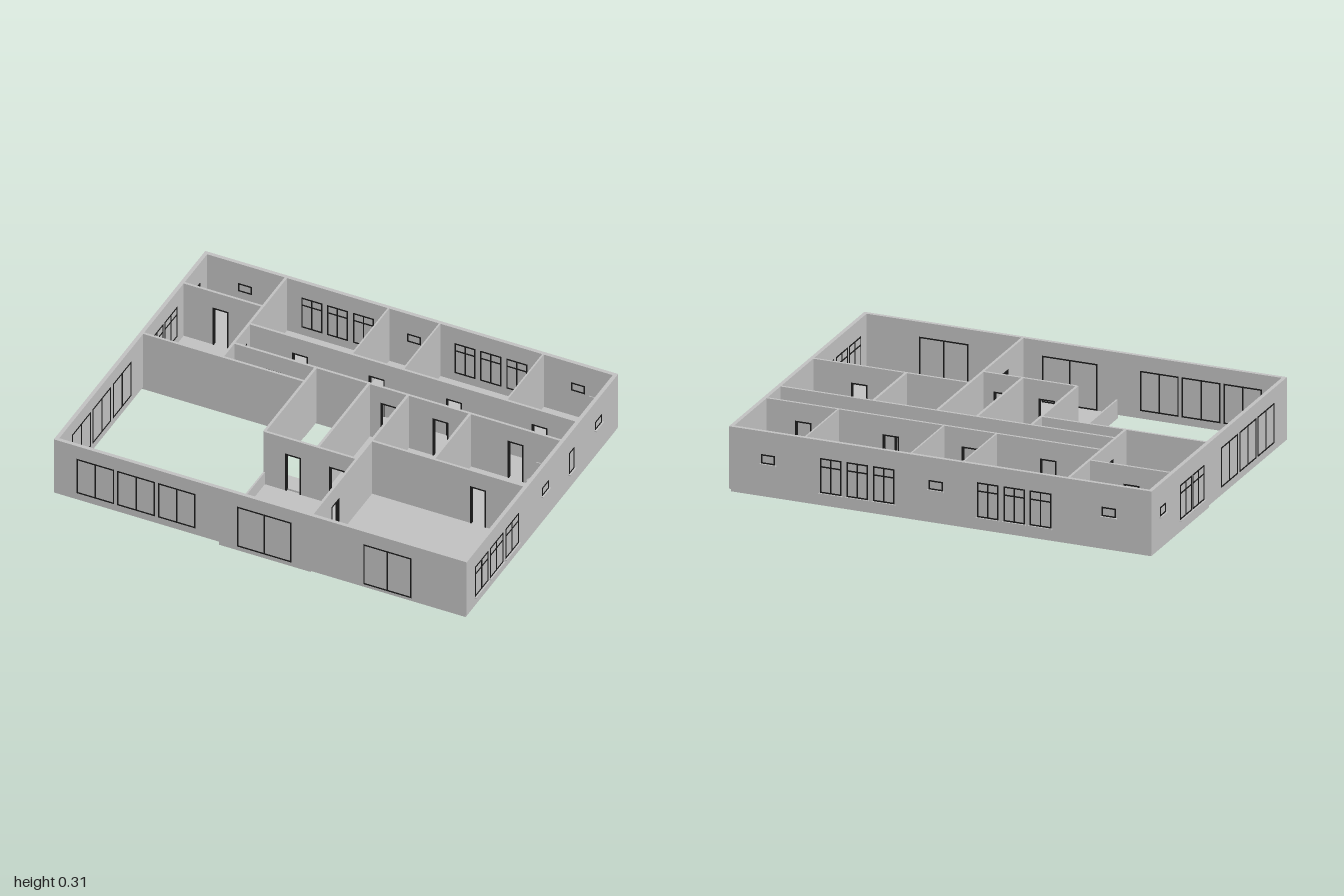
import * as THREE from 'three';

const grey = new THREE.MeshStandardMaterial({ color: 0xc0c0c0, side: THREE.DoubleSide });
grey.name = 'plaster grey';
const dark = new THREE.MeshStandardMaterial({ color: 0x1a1a1a });
dark.name = 'frame black';

const BASE = 0.02, TOP = 0.308, DOOR_TOP = 0.225;
const X = 0.981, Z = 0.733, OUT = 0.018, IN = 0.012;

export function createModel() {
  const house = new THREE.Group();
  house.name = 'house';

  function add(parent, name, geometry, material = grey) {
    const m = new THREE.Mesh(geometry, material);
    m.name = name;
    parent.add(m);
    return m;
  }
  // Box from its limits
  function box(parent, name, x0, x1, y0, y1, z0, z1, material = grey) {
    const g = new THREE.BoxGeometry(x1 - x0, y1 - y0, z1 - z0);
    g.translate((x0 + x1) / 2, (y0 + y1) / 2, (z0 + z1) / 2);
    return add(parent, name, g, material);
  }
  // Box running along 'x' or 'z' between a and b, centred across on c
  function run(parent, name, axis, c, a, b, y0, y1, t, material = grey) {
    if (axis === 'x') return box(parent, name, a, b, y0, y1, c - t / 2, c + t / 2, material);
    return box(parent, name, c - t / 2, c + t / 2, y0, y1, a, b, material);
  }

  // Wall with doorways notched out at the given centres, each with a dark frame
  function wall(name, axis, c, a, b, t, doors = [], width = 0.076) {
    const s = new THREE.Shape();
    s.moveTo(a, BASE);
    for (const d of doors) {
      s.lineTo(d - width / 2, BASE);
      s.lineTo(d - width / 2, DOOR_TOP);
      s.lineTo(d + width / 2, DOOR_TOP);
      s.lineTo(d + width / 2, BASE);
    }
    s.lineTo(b, BASE);
    s.lineTo(b, TOP);
    s.lineTo(a, TOP);
    const g = new THREE.ExtrudeGeometry(s, { depth: t, bevelEnabled: false });
    g.translate(0, 0, -t / 2);
    if (axis === 'z') g.rotateY(-Math.PI / 2);
    g.translate(axis === 'z' ? c : 0, 0, axis === 'x' ? c : 0);
    add(house, name, g);
    for (const d of doors) frame('doorFrame', axis, c, d - width / 2, d + width / 2, BASE, DOOR_TOP, t, { bottom: false });
  }

  // Slim frame with optional mullion, transom and outside sill
  function frame(name, axis, c, a, b, y0, y1, t, o = {}) {
    const f = new THREE.Group();
    f.name = name;
    house.add(f);
    const w = 0.006, d = t + 0.004;
    run(f, 'jamb', axis, c, a, a + w, y0, y1, d, dark);
    run(f, 'jamb', axis, c, b - w, b, y0, y1, d, dark);
    run(f, 'head', axis, c, a, b, y1 - w, y1, d, dark);
    if (o.bottom !== false) run(f, 'bottomRail', axis, c, a, b, y0, y0 + w, d, dark);
    if (o.mullion) run(f, 'mullion', axis, c, (a + b - w) / 2, (a + b + w) / 2, y0, y1, d, dark);
    if (o.transom) run(f, 'transom', axis, c, a, b, o.transom, o.transom + w, d, dark);
    if (o.sill) run(f, 'sill', axis, c + o.sill * 0.0095, a - 0.005, b + 0.005, y0 - 0.006, y0, 0.018);
  }

  // Floor slab around the open court and the stairwell
  const slab = new THREE.Shape([
    [-0.985, -0.735], [0.983, -0.735], [0.983, 0.738], [0.24, 0.738], [0.24, 0.285],
    [0.055, 0.285], [0.055, -0.21], [-0.2, -0.21], [-0.2, -0.1], [-0.985, -0.1],
  ].map(p => new THREE.Vector2(...p)));
  const slabGeo = new THREE.ExtrudeGeometry(slab, { depth: 0.019, bevelEnabled: false });
  slabGeo.rotateX(Math.PI / 2).translate(0, 0.025, 0);
  add(house, 'floorSlab', slabGeo);
  box(house, 'entranceFloor', -0.2, 0.24, 0, 0.025, 0.29, 0.738);

  // Outer walls
  const e = OUT / 2;
  wall('frontWall', 'x', Z, -X - e, X + e, OUT);
  wall('backWall', 'x', -Z, -X - e, X + e, OUT);
  for (const s of [-1, 1]) wall('sideWall', 'z', s * X, -Z + e, Z - e, OUT);

  // Inner walls: axis, position, start, end, doorways, thickness
  const inner = [
    ['x', -0.365, -0.595, 0.972, [-0.347, 0.02, 0.39, 0.8]],
    ['x', -0.213, -0.595, 0.972, [-0.4, 0.15, 0.4, 0.76]],
    ['x', -0.5, -0.972, -0.595, [-0.795]],
    ['x', -0.103, -0.972, -0.2, []],
    ['x', 0.29, -0.2, 0.24, [-0.06, 0.15]],
    ['x', 0.147, 0.24, 0.972, [0.757]],
    ['z', -0.595, -0.724, -0.103, [-0.29]],
    ['z', -0.2, -0.213, 0.29, []],
    ['z', 0.055, -0.213, 0.29, []],
    ['z', 0.242, -0.213, 0.724, [0.515]],
    ['z', 0.54, -0.213, 0.147, []],
    ['z', -0.103, -0.724, -0.365, [], 0.008],
    ['z', 0.143, -0.724, -0.365, [], 0.008],
    ['z', 0.638, -0.724, -0.365, [], 0.008],
  ];
  for (const [axis, c, a, b, doors, t = IN] of inner) wall('innerWall', axis, c, a, b, t, doors);
  run(house, 'lowWall', 'z', -0.2, 0.296, 0.724, 0.015, 0.09, 0.008);

  // Landing and steps
  box(house, 'landing', -0.194, 0.049, 0.01, 0.03, 0.2, 0.285);
  box(house, 'step', -0.07, 0.049, 0.03, 0.05, 0.177, 0.2);
  box(house, 'step', -0.07, 0.049, 0.05, 0.07, 0.155, 0.177);

  // Court windows on the front and side
  for (let i = 0; i < 3; i++) {
    const a = -0.88 + i * 0.195, b = 0.02 + i * 0.2;
    frame('courtWindow', 'x', Z, a, a + 0.18, 0.055, 0.24, OUT, { mullion: true });
    frame('courtWindow', 'z', -X, b, b + 0.18, 0.055, 0.24, OUT, { mullion: true });
  }
  // Front double doors
  frame('frontDoor', 'x', Z, -0.11, 0.15, 0.025, 0.24, OUT, { mullion: true });
  frame('frontDoor', 'x', Z, 0.495, 0.725, 0.025, 0.24, OUT, { mullion: true });

  // Casement windows and small windows with sills
  const casement = (axis, c, a, b, sill) =>
    frame('casementWindow', axis, c, a, b, 0.066, 0.227, OUT, { mullion: true, transom: 0.184, sill });
  const small = (axis, c, a, b, sill, y0 = 0.16, y1 = 0.203) =>
    frame('smallWindow', axis, c, a, b, y0, y1, OUT, { sill });
  for (const a of [0.235, 0.388, 0.533]) casement('z', X, a, a + 0.128, 1);
  for (const a of [-0.43, -0.292]) casement('z', -X, a, a + 0.125, -1);
  for (const a of [-0.52, -0.397, -0.272, 0.215, 0.338, 0.463]) casement('x', -Z, a, a + 0.1, -1);
  small('z', X, -0.06, 0.005, 1);
  small('z', X, -0.31, -0.26, 1, 0.097, 0.21);
  small('z', X, -0.58, -0.515, 1);
  small('z', -X, -0.652, -0.588, -1);
  for (const a of [-0.823, -0.012, 0.773]) small('x', -Z, a, a + 0.066, -1);

  // Washbasins: cabinet with a round bowl rim
  for (const [x, z, w, d] of [[-0.623, -0.535, 0.046, 0.065], [0.112, -0.405, 0.046, 0.065],
    [0.68, -0.395, 0.065, 0.046], [0.57, 0.045, 0.045, 0.06], [0.57, 0.107, 0.045, 0.06]]) {
    box(house, 'washCabinet', x - w / 2, x + w / 2, 0.025, 0.105, z - d / 2, z + d / 2);
    const rim = add(house, 'basinRim', new THREE.TorusGeometry(0.016, 0.004, 6, 20));
    rim.rotation.x = Math.PI / 2;
    rim.position.set(x, 0.106, z);
  }
  // Toilets: cistern and seat
  for (const [x, z, w, d] of [[-0.95, -0.705, 0.03, 0.04], [-0.065, -0.395, 0.026, 0.04],
    [0.945, -0.4, 0.045, 0.024], [0.945, 0.107, 0.045, 0.024]]) {
    box(house, 'toiletBowl', x - w / 2, x + w / 2, 0.025, 0.07, z - d / 2, z + d / 2);
  }
  // Shower drains and screens
  for (const [x, z] of [[-0.645, -0.71], [0.95, -0.69]]) {
    add(house, 'showerDrain', new THREE.CylinderGeometry(0.01, 0.01, 0.006, 16)).position.set(x, 0.028, z);
  }
  for (const z of [-0.65, -0.13]) run(house, 'showerScreen', 'x', z, 0.895, 0.972, 0.025, 0.22, 0.004);

  // Oval bathtub, open at the top
  const tub = add(house, 'bathtub',
    new THREE.SphereGeometry(1, 28, 10, 0, Math.PI * 2, Math.PI / 2, Math.PI / 2));
  tub.scale.set(0.07, 0.05, 0.032);
  tub.position.set(0.9, 0.075, -0.172);

  return house;
}
